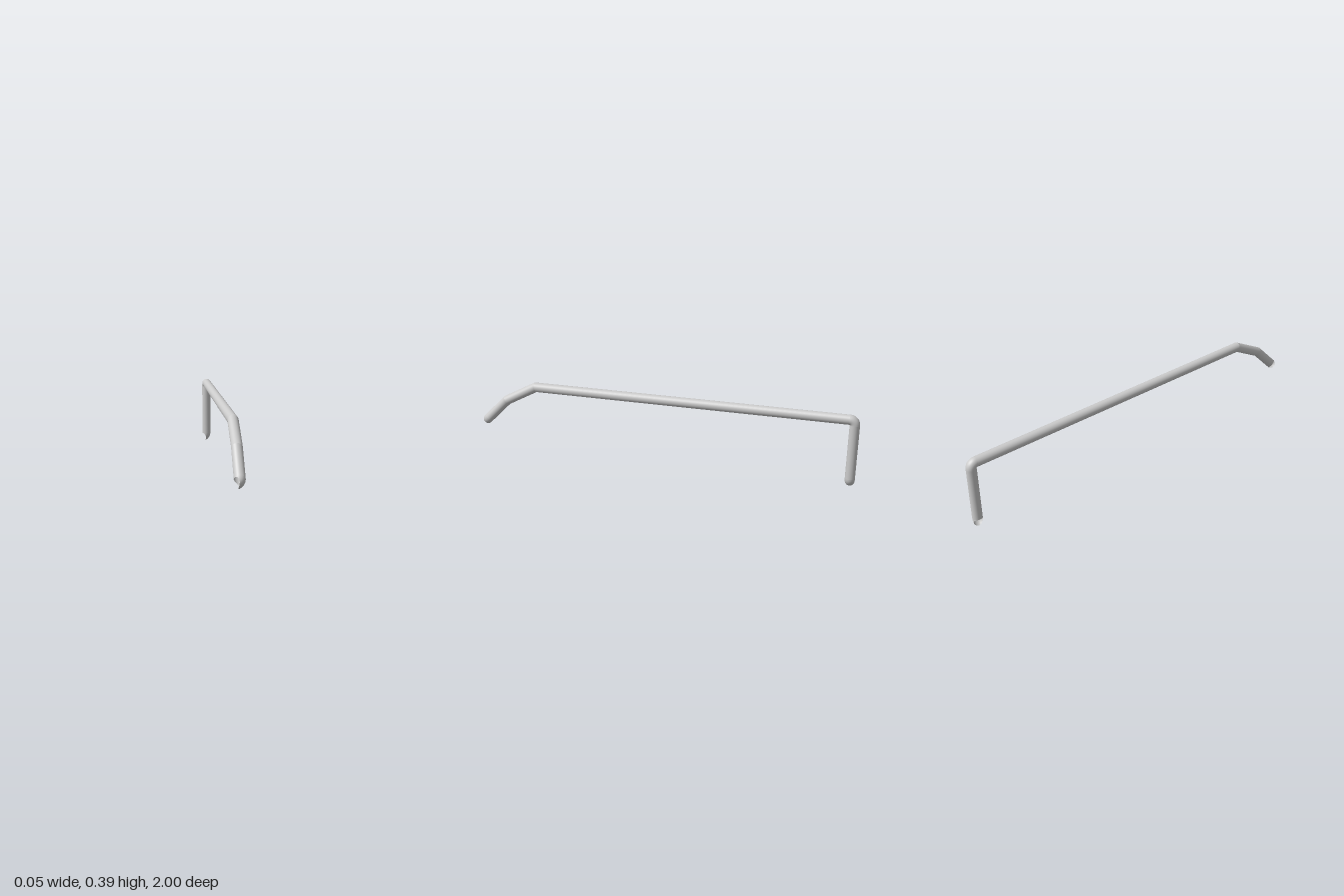
import * as THREE from 'three';

const SIDES = 28;
const R = 0.025;        // rod radius
const BEND = 0.0255;    // centre-line radius of the tight bends
const X = new THREE.Vector3(1, 0, 0);
const at = (z, y) => new THREE.Vector3(0.002, y, z);

// Closed skin over (rows + 1) rings; point(t, angle) gives each vertex
function skin(name, rows, point, material) {
  const positions = [], index = [];
  for (let i = 0; i <= rows; i++) {
    for (let j = 0; j < SIDES; j++) {
      positions.push(...point(i / rows, (j / SIDES) * Math.PI * 2).toArray());
      if (i === rows) continue;
      const a = i * SIDES + j, b = i * SIDES + (j + 1) % SIDES;
      index.push(a, b, a + SIDES, b, b + SIDES, a + SIDES);
    }
  }
  const geometry = new THREE.BufferGeometry();
  geometry.setAttribute('position', new THREE.Float32BufferAttribute(positions, 3));
  geometry.setIndex(index);
  geometry.computeVertexNormals();
  const mesh = new THREE.Mesh(geometry, material);
  mesh.name = name;
  return mesh;
}

// Ring around centre p; s is the ring's in-plane axis, x its other axis
const ringPoint = (p, s, a) =>
  p.clone().addScaledVector(s, R * Math.cos(a)).addScaledVector(X, R * Math.sin(a));

export function createModel() {
  const group = new THREE.Group();
  group.name = 'bentRod';
  const material = new THREE.MeshStandardMaterial({ color: 0xcccccc, side: THREE.DoubleSide });

  // Straight runs with mitred joints, front to back
  const front = [at(0.962, 0.157), at(0.85, 0.27), at(0.682, 0.361), at(-0.9485, 0.3625)];
  const dirs = front.slice(1).map((p, i) => p.clone().sub(front[i]).normalize());
  const normals = dirs.map((d) => X.clone().cross(d));
  const axes = front.map((_, i) => {
    if (i === 0) return normals[0];
    if (i === front.length - 1) return new THREE.Vector3(0, 1, 0);
    const a = normals[i - 1], b = normals[i];
    return a.clone().add(b).divideScalar(1 + a.dot(b));
  });
  ['frontTip', 'frontSlope', 'longRail'].forEach((name, i) => {
    group.add(skin(name, 1, (t, a) =>
      ringPoint(front[i].clone().lerp(front[i + 1], t), axes[i].clone().lerp(axes[i + 1], t), a), material));
  });

  // Rounded corner at the back
  const centre = at(-0.9485, 0.3625 - BEND);
  group.add(skin('backCorner', 10, (t, a) => {
    const s = new THREE.Vector3(0, Math.cos(t * Math.PI / 2), -Math.sin(t * Math.PI / 2));
    return ringPoint(centre.clone().addScaledVector(s, BEND), s, a);
  }, material));

  // Upright back leg
  const legTop = at(-0.9485 - BEND, 0.3625 - BEND), legEnd = at(-0.975, 0.048);
  const back = new THREE.Vector3(0, 0, -1);
  group.add(skin('backLeg', 1, (t, a) => ringPoint(legTop.clone().lerp(legEnd, t), back, a), material));

  // Open ends: short elbows turning to -x, cut off at a slant
  function hookEnd(name, start, d) {
    const n = d.clone().cross(X);
    group.add(skin(name, 10, (t, a) => {
      const c = Math.cos(a), radius = BEND + R * c;
      const turn = t * THREE.MathUtils.degToRad(40 + 30 * c);
      return start.clone()
        .addScaledVector(X, radius * Math.cos(turn) - BEND)
        .addScaledVector(d, radius * Math.sin(turn))
        .addScaledVector(n, R * Math.sin(a));
    }, material));
  }
  hookEnd('frontHook', front[0], dirs[0].clone().negate());
  hookEnd('backHook', legEnd, new THREE.Vector3(0, -1, 0));

  return group;
}
